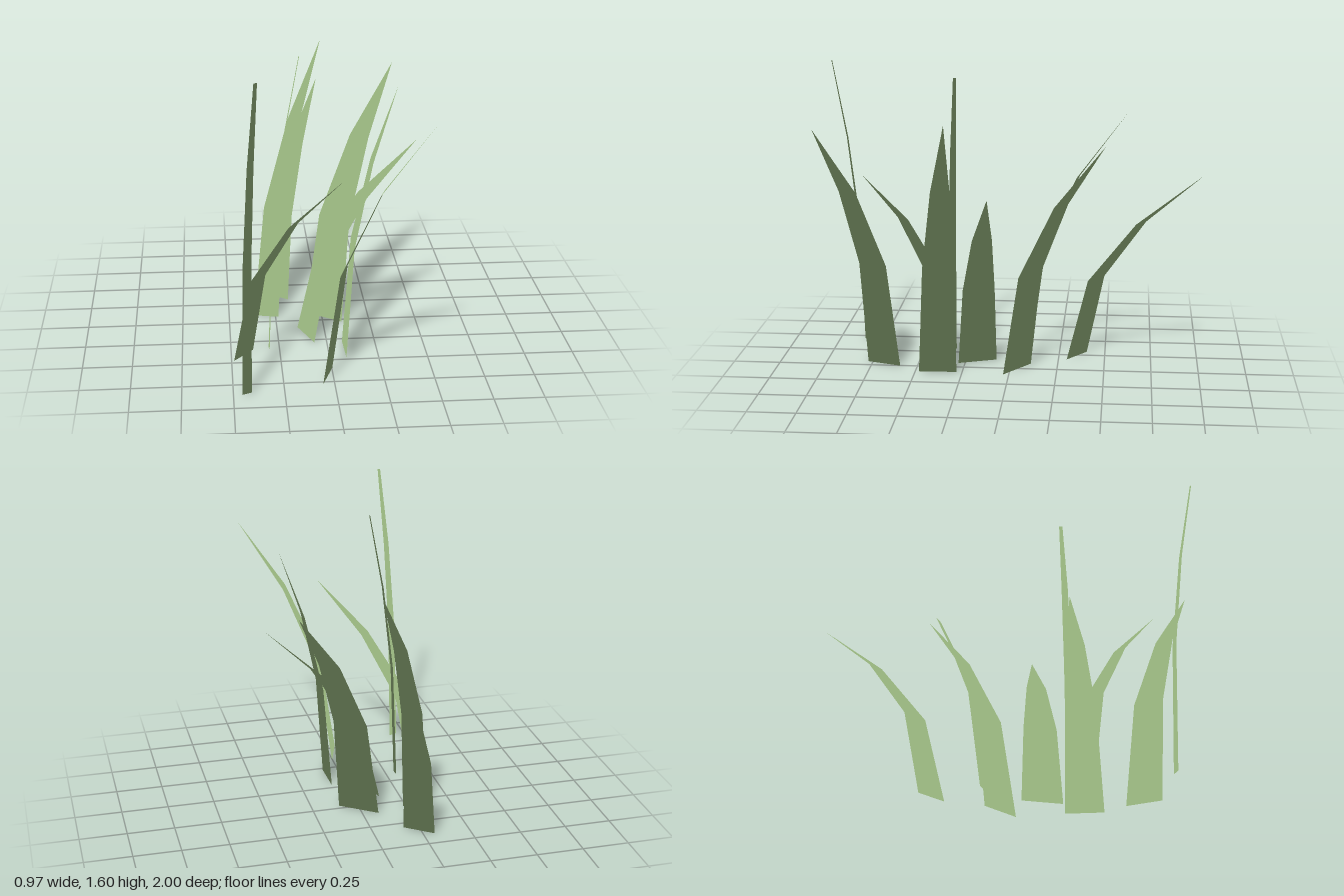
import * as THREE from 'three';

// Shared bend of every blade, per row: height, lean towards the tip, width
const ROWS = [[0, 0, 1], [0.42, 0.155, 0.82], [0.732, 0.515, 0.5], [1, 1, 0]];

// One bent, tapering blade: base corners a and b as [x, z], tip as [x, y, z]
function bladeGeometry(a, b, tip, tipWidth) {
  const mid = [(a[0] + b[0]) / 2, (a[1] + b[1]) / 2];
  const lean = [tip[0] - mid[0], tip[2] - mid[1]];
  let half = [(b[0] - a[0]) / 2, (b[1] - a[1]) / 2];
  // keep the outer face of the bend pointing upwards
  if (half[1] * lean[0] - half[0] * lean[1] < 0) half = half.map((v) => -v);

  const positions = [], normals = [], index = [];
  ROWS.forEach(([h, l, w], i) => {
    const width = tipWidth + (1 - tipWidth) * w;
    for (const s of [-1, 1]) {
      positions.push(mid[0] + lean[0] * l + s * half[0] * width, tip[1] * h,
        mid[1] + lean[1] * l + s * half[1] * width);
      normals.push(0, 1, 0); // upward normals give the grass even lighting
    }
    if (i > 0) {
      const k = 2 * i - 2;
      index.push(k, k + 1, k + 3, k, k + 3, k + 2);
    }
  });
  const geometry = new THREE.BufferGeometry();
  geometry.setAttribute('position', new THREE.Float32BufferAttribute(positions, 3));
  geometry.setAttribute('normal', new THREE.Float32BufferAttribute(normals, 3));
  geometry.setIndex(index);
  return geometry;
}

export function createModel() {
  const group = new THREE.Group();
  group.name = 'grassTuft';
  const green = new THREE.MeshStandardMaterial({ color: 0x95b27c, side: THREE.DoubleSide });
  green.name = 'grassGreen';

  // base corner, base corner, tip, tip width as a share of the base
  const blades = [
    // broad pointed blades, back to front
    [[-0.31, -0.40], [-0.17, -0.295], [0.04, 1.08, -1.0], 0],
    [[-0.365, -0.09], [-0.235, -0.06], [0.035, 1.405, -0.61], 0],
    [[-0.085, -0.105], [0.10, 0.03], [0.42, 1.295, -0.50], 0],
    [[-0.14, 0.085], [-0.065, 0.285], [0.48, 1.03, 0.078], 0],
    [[0.08, 0.28], [0.085, 0.48], [0.35, 1.375, 0.305], 0],
    [[-0.487, 0.475], [-0.387, 0.35], [0.045, 1.05, 0.765], 0],
    [[-0.057, 0.775], [0.003, 0.593], [0.452, 1.365, 0.942], 0],
    // thin blunt blades
    [[-0.305, 0.322], [-0.302, 0.368], [-0.14, 1.54, 0.302], 0.38],
    [[-0.457, 0.86], [-0.41, 0.838], [-0.378, 1.595, 0.995], 0.35],
  ];
  blades.forEach((blade, i) => {
    const mesh = new THREE.Mesh(bladeGeometry(...blade), green);
    mesh.name = `grassBlade${i + 1}`;
    group.add(mesh);
  });
  return group;
}
